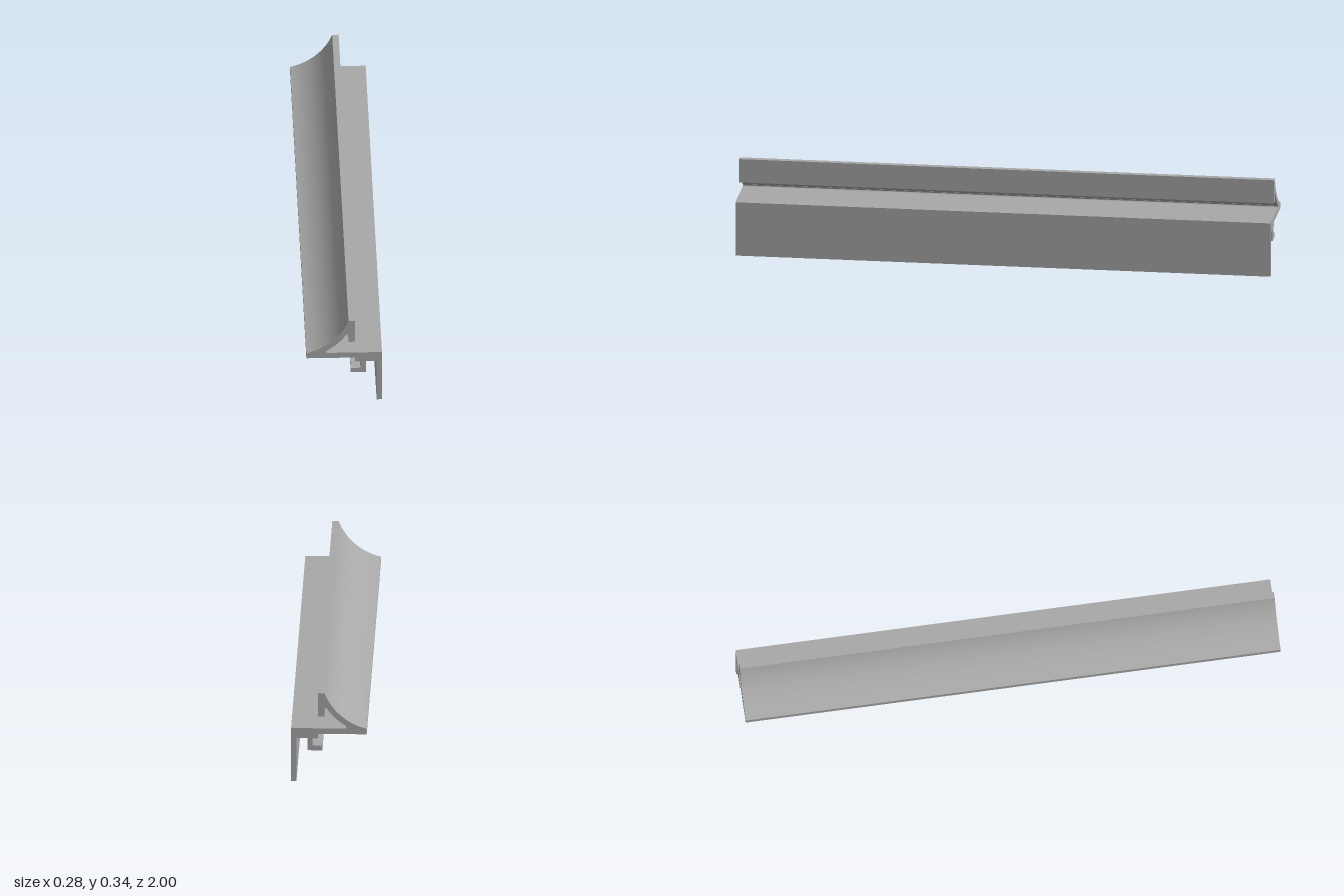
import * as THREE from 'three';
import { toCreasedNormals } from 'three/addons/utils/BufferGeometryUtils.js';

const LENGTH = 2;
const CX = -0.193, CY = 0.4235; // common centre of the two cove arcs

export function createModel() {
  const grey = new THREE.MeshStandardMaterial({ color: 0xa8a8a8 });
  grey.name = 'grey';

  const s = new THREE.Shape();
  const lines = (pts) => pts.forEach(([x, y]) => s.lineTo(x, y));

  // shelf underside, hooked clip and hanging flange
  s.moveTo(-0.14, 0.184);
  lines([
    [0.04, 0.184], [0.04, 0.167], [0.06, 0.167], [0.06, 0.139], [0.024, 0.139],
    [0.024, 0.12], [0.08, 0.12], [0.08, 0.167], [0.12, 0.167], [0.12, 0], [0.14, 0],
    [0.14, 0.206], [-0.063, 0.206],
  ]);
  // rounded inner corner, then the back of the cove
  s.quadraticCurveTo(-0.07, 0.209, -0.065, 0.214);
  s.absarc(CX, CY, 0.2448, -1.022, -0.612, false);
  s.quadraticCurveTo(0.014, 0.29, 0.016, 0.279);
  // upright lip
  lines([[0.016, 0.253], [0.04, 0.253], [0.04, 0.343], [0.016, 0.343]]);
  // concave cove face
  s.absarc(CX, CY, 0.224, -0.368, -1.332, true);
  s.lineTo(-0.14, 0.206);
  s.closePath();

  const geo = new THREE.ExtrudeGeometry(s, { depth: LENGTH, bevelEnabled: false, curveSegments: 24 });
  geo.translate(0, 0, -LENGTH / 2);

  const profile = new THREE.Mesh(toCreasedNormals(geo, 0.35), grey);
  profile.name = 'trimProfile';

  const group = new THREE.Group();
  group.name = 'covedTrim';
  group.add(profile);
  return group;
}
